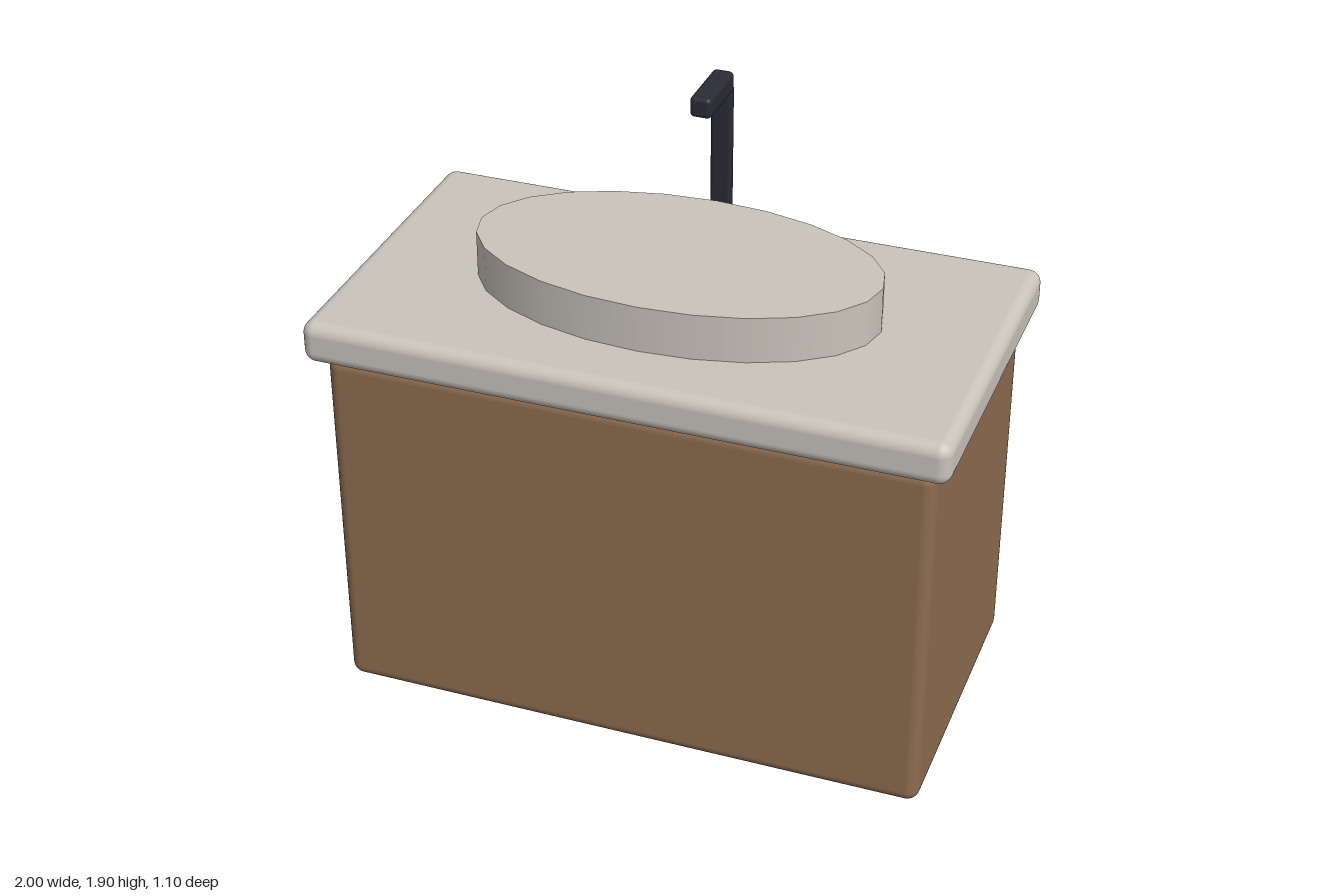
import * as THREE from 'three';
import { RoundedBoxGeometry } from 'three/addons/geometries/RoundedBoxGeometry.js';

export function createModel() {
  const group = new THREE.Group();
  group.name = 'washbasinVanity';

  const material = (name, color) => {
    const m = new THREE.MeshStandardMaterial({ color });
    m.name = name;
    return m;
  };
  const wood = material('brown wood', 0x8d6c50);
  const stone = material('pale stone', 0xc9c4bb);
  const metal = material('dark metal', 0x2a2b34);

  const add = (name, geometry, mat, x, y, z) => {
    const mesh = new THREE.Mesh(geometry, mat);
    mesh.name = name;
    mesh.position.set(x, y, z);
    group.add(mesh);
    return mesh;
  };
  // Rounded box spanning y0..y1 and z0..z1, centred on x
  const block = (name, mat, width, y0, y1, z0, z1, radius) =>
    add(name, new RoundedBoxGeometry(width, y1 - y0, z1 - z0, 4, radius), mat,
      0, (y0 + y1) / 2, (z0 + z1) / 2);

  // Cabinet and overhanging counter
  block('cabinet', wood, 1.9, 0, 1.2, -0.495, 0.495, 0.04);
  block('counter', stone, 2, 1.2, 1.337, -0.548, 0.548, 0.04);

  // Oval basin, a stretched 24-sided cylinder
  const basin = new THREE.CylinderGeometry(1, 1, 0.165, 24);
  basin.scale(0.64, 1, 0.35);
  add('basin', basin, stone, 0, 1.4025, 0);

  // Tap: flat upright post and a spout reaching forward
  block('tapPost', metal, 0.068, 1.4, 1.86, -0.415, -0.38, 0.012);
  block('tapSpout', metal, 0.068, 1.838, 1.905, -0.412, -0.19, 0.015);

  return group;
}
